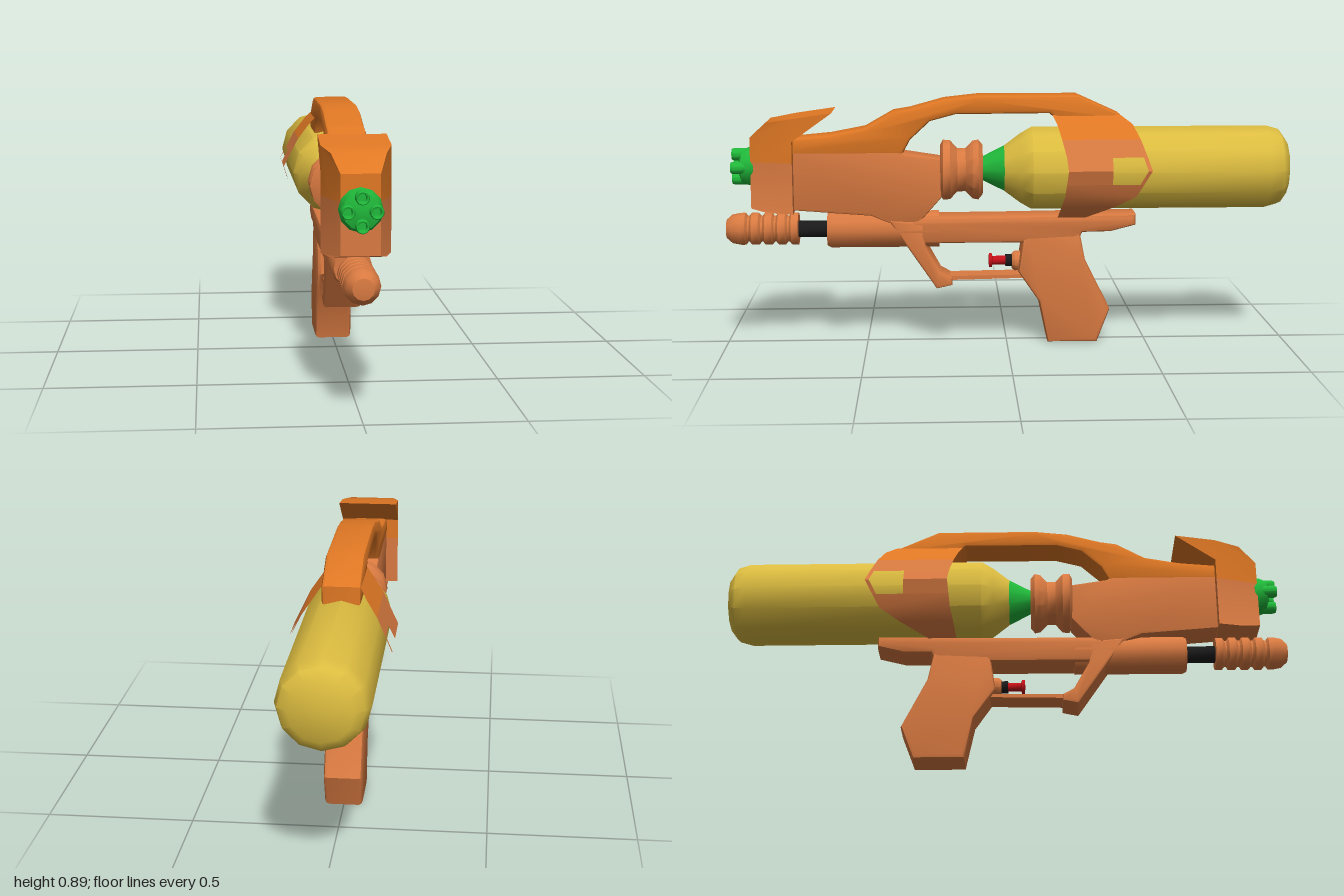
import * as THREE from 'three';
import { toCreasedNormals } from 'three/addons/utils/BufferGeometryUtils.js';

const paint = (name, color) => {
  const m = new THREE.MeshStandardMaterial({ color });
  m.name = name;
  return m;
};

export function createModel() {
  const orange = paint('bright orange', 0xe07824);
  const salmon = paint('soft orange', 0xd97a41);
  const yellow = paint('tank yellow', 0xdcbc40);
  const green = paint('green', 0x20b83a);
  const red = paint('red', 0xc41018);
  const black = paint('black', 0x1a1a1a);

  const model = new THREE.Group();
  model.name = 'waterBlaster';

  const add = (name, geometry, material, crease = 0.7) => {
    const mesh = new THREE.Mesh(toCreasedNormals(geometry, crease), material);
    mesh.name = name;
    model.add(mesh);
    return mesh;
  };

  // Side outline of [z, y] points, given thickness in x; width may vary with z
  const slab = (name, points, half, bevel, material) => {
    const varied = typeof half === 'function';
    const w = varied ? 1 : half;
    const shape = new THREE.Shape(points.map(([z, y]) => new THREE.Vector2(z, y)));
    const g = new THREE.ExtrudeGeometry(shape, {
      depth: 2 * (w - bevel), bevelEnabled: bevel > 0, bevelSize: bevel,
      bevelThickness: bevel, bevelOffset: -bevel, bevelSegments: 2,
    });
    g.translate(0, 0, bevel - w);
    g.rotateY(-Math.PI / 2);
    if (varied) {
      const p = g.attributes.position;
      for (let i = 0; i < p.count; i++) p.setX(i, p.getX(i) * half(p.getZ(i)));
    }
    return add(name, g, material);
  };

  // Turned part along z, from [radius, z] points running back to front
  const turned = (name, profile, y, material, sides = 12, x = 0) => {
    const g = new THREE.LatheGeometry(profile.map(([r, z]) => new THREE.Vector2(r, z)), sides);
    g.rotateX(Math.PI / 2);
    g.translate(x, y, 0);
    return add(name, g, material);
  };

  // Water tank, neck and coupling
  turned('tank', [[0, -1], [0.1, -1], [0.135, -0.975], [0.148, -0.93], [0.148, -0.09],
    [0.125, -0.05], [0.08, 0.01], [0, 0.01]], 0.625, yellow);
  turned('tankNeck', [[0, -0.005], [0.088, -0.005], [0.04, 0.09], [0, 0.09]], 0.625, green);
  turned('coupling', [[0, 0.085], [0.09, 0.085], [0.108, 0.1], [0.104, 0.12], [0.078, 0.145],
    [0.078, 0.175], [0.106, 0.2], [0.108, 0.225], [0.09, 0.235], [0, 0.235]], 0.62, salmon);

  // Upper body running into the carry handle
  slab('carryHandle', [[0.8, 0.68], [0.8, 0.735], [0.62, 0.752], [0.5, 0.775], [0.4, 0.832],
    [0.34, 0.842], [0.22, 0.875], [0.1, 0.888], [-0.25, 0.888], [-0.4, 0.82], [-0.4, 0.755],
    [-0.2, 0.755], [-0.185, 0.795], [-0.15, 0.826], [0.18, 0.824], [0.27, 0.8],
    [0.34, 0.735], [0.37, 0.68]], 0.066, 0.014, orange);
  // Lower body
  slab('body', [[0.8, 0.49], [0.8, 0.715], [0.4, 0.715], [0.36, 0.685], [0.23, 0.665],
    [0.23, 0.53], [0.31, 0.44], [0.42, 0.44], [0.48, 0.465]], 0.064, 0.01, salmon);

  // Flared nose shroud with a swept-back fin
  const shroudWidth = (z) => {
    if (z <= 0.75) return 0.11;
    return z <= 0.84 ? 0.11 - (z - 0.75) * 0.28 : 0.085 - (z - 0.84) * 0.4;
  };
  slab('shroudLower', [[0.9, 0.495], [0.9, 0.66], [0.84, 0.66], [0.75, 0.66],
    [0.75, 0.48], [0.84, 0.482]], shroudWidth, 0, salmon);
  slab('shroudUpper', [[0.9, 0.66], [0.9, 0.745], [0.84, 0.8], [0.75, 0.815], [0.61, 0.835],
    [0.75, 0.735], [0.75, 0.66], [0.84, 0.66]], shroudWidth, 0, orange);

  // Four-jet nozzle
  turned('nozzle', [[0, 0.89], [0.068, 0.89], [0.068, 0.912], [0.058, 0.935],
    [0.03, 0.945], [0, 0.948]], 0.637, green);
  for (let i = 0; i < 4; i++) {
    const a = i * Math.PI / 2;
    turned('jet', [[0.022, 0.91], [0.022, 0.962], [0.019, 0.97], [0.014, 0.968],
      [0.012, 0.945], [0, 0.945]], 0.637 + 0.043 * Math.sin(a), green, 10, 0.043 * Math.cos(a));
  }

  // Pump tube, rod and ribbed grip
  turned('pumpTube', [[0, 0.24], [0.066, 0.24], [0.066, 0.625], [0.06, 0.637], [0, 0.637]],
    0.408, salmon);
  turned('pumpRod', [[0, 0.62], [0.03, 0.62], [0.03, 0.75], [0, 0.75]], 0.41, black);
  const ribs = [[0, 0.74], [0.058, 0.74]];
  for (let i = 0; i < 4; i++) {
    const z = 0.765 + i * 0.047;
    ribs.push([0.058, z], [0.047, z + 0.008], [0.047, z + 0.014], [0.058, z + 0.022]);
  }
  ribs.push([0.058, 0.945], [0.052, 0.975], [0.034, 0.995], [0, 1]);
  turned('pumpGrip', ribs, 0.412, salmon);

  // Lower rail, pistol grip and trigger guard
  slab('rail', [[0.35, 0.44], [0.31, 0.458], [0, 0.46], [-0.46, 0.466], [-0.46, 0.425],
    [-0.37, 0.402], [-0.27, 0.4], [-0.25, 0.364], [0.3, 0.364]], 0.065, 0.016, salmon);
  slab('pistolGrip', [[-0.06, 0.39], [-0.26, 0.4], [-0.28, 0.3], [-0.37, 0.12], [-0.325, 0],
    [-0.147, 0], [-0.115, 0.15], [-0.04, 0.26]], 0.066, 0.014, salmon);
  slab('guardStrut', [[0.42, 0.45], [0.25, 0.2], [0.195, 0.212], [0.195, 0.238],
    [0.235, 0.26], [0.29, 0.36], [0.29, 0.44]], 0.065, 0.01, salmon);
  slab('guardBar', [[0.21, 0.228], [-0.09, 0.234], [-0.09, 0.246], [0.21, 0.242]],
    0.045, 0, salmon);

  // Trigger
  turned('triggerHousing', [[0, -0.1], [0.036, -0.1], [0.036, -0.03], [0.028, -0.02],
    [0, -0.02]], 0.288, salmon, 10);
  turned('triggerCollar', [[0, -0.025], [0.022, -0.025], [0.022, 0.003], [0, 0.003]],
    0.29, black, 10);
  turned('trigger', [[0, 0], [0.016, 0], [0.016, 0.05], [0.026, 0.052], [0.026, 0.062],
    [0, 0.064]], 0.29, red, 10);

  // Thin tank cowl, rows of [y, half width, front z, rear z] with a side window
  const rows = [
    [0.82, 0.064, -0.16, -0.4], [0.79, 0.088, -0.175, -0.44], [0.74, 0.124, -0.19, -0.465],
    [0.68, 0.154, -0.205, -0.487], [0.635, 0.176, -0.21, -0.502], [0.585, 0.16, -0.205, -0.475],
    [0.54, 0.142, -0.2, -0.45], [0.5, 0.112, -0.19, -0.38], [0.455, 0.064, -0.18, -0.28],
  ];
  const strip = (name, list, side, material) => {
    const v = [];
    for (let i = 0; i + 1 < list.length; i++) {
      const [y0, x0, f0, r0] = list[i];
      const [y1, x1, f1, r1] = list[i + 1];
      const a = [side * x0, y0, f0], b = [side * x1, y1, f1];
      const c = [side * x1, y1, r1], d = [side * x0, y0, r0];
      const order = side > 0 ? [a, b, c, a, c, d] : [a, c, b, a, d, c];
      v.push(...order.flat());
    }
    const g = new THREE.BufferGeometry();
    g.setAttribute('position', new THREE.Float32BufferAttribute(v, 3));
    g.computeVertexNormals();
    add(name, g, material);
  };
  for (const side of [1, -1]) {
    strip('cowlTop', rows.slice(0, 3), side, orange);
    strip('cowlShoulder', rows.slice(2, 4), side, salmon);
    const middle = rows.slice(3, 6);
    strip('cowlSide', middle.map(([y, x, f]) => [y, x, f, -0.365]), side, salmon);
    strip('cowlWindowRim', middle.map(([y, x, , r]) => [y, x, r + 0.014, r]), side, salmon);
    strip('cowlBottom', rows.slice(5), side, salmon);
  }

  return model;
}
